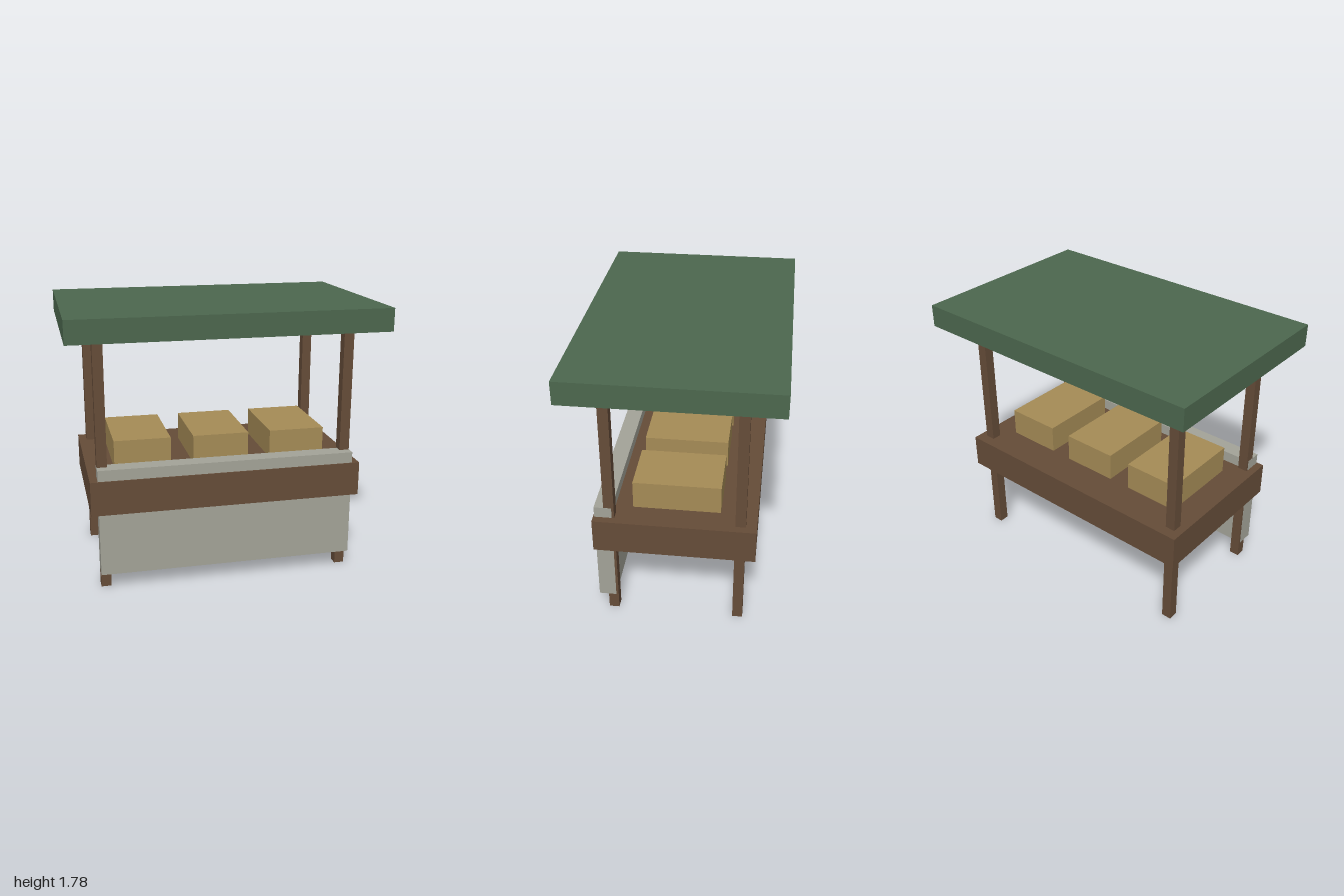
import * as THREE from 'three';

const material = (color) => new THREE.MeshStandardMaterial({ color });

export function createModel() {
  const stall = new THREE.Group();
  stall.name = 'marketStall';

  const wood = material(0x654c38);
  const green = material(0x4c674e);
  const cloth = material(0xa3a398);
  const straw = material(0xa58b56);

  // Box spanning y0..y1, centred on x and z
  const addBox = (name, mat, width, depth, y0, y1, x = 0, z = 0) => {
    const mesh = new THREE.Mesh(new THREE.BoxGeometry(width, y1 - y0, depth), mat);
    mesh.name = name;
    mesh.position.set(x, (y0 + y1) / 2, z);
    stall.add(mesh);
  };

  // Counter, front panel and roof
  addBox('counter', wood, 1.76, 1.015, 0.52, 0.743);
  addBox('frontPanel', cloth, 1.662, 0.11, 0.11, 0.815, 0, 0.445);
  addBox('roof', green, 2, 1.294, 1.632, 1.778);

  // Four corner posts
  for (const [side, sx] of [['Left', 1], ['Right', -1]]) {
    for (const [end, sz] of [['front', 1], ['back', -1]]) {
      addBox(`${end}${side}Post`, wood, 0.065, 0.065, 0, 1.632, sx * 0.797, sz * 0.407);
    }
  }

  // Row of goods crates on the counter
  for (let i = -1; i <= 1; i++) {
    addBox(`crate${i + 2}`, straw, 0.37, 0.554, 0.743, 0.928, i * 0.518);
  }

  return stall;
}
